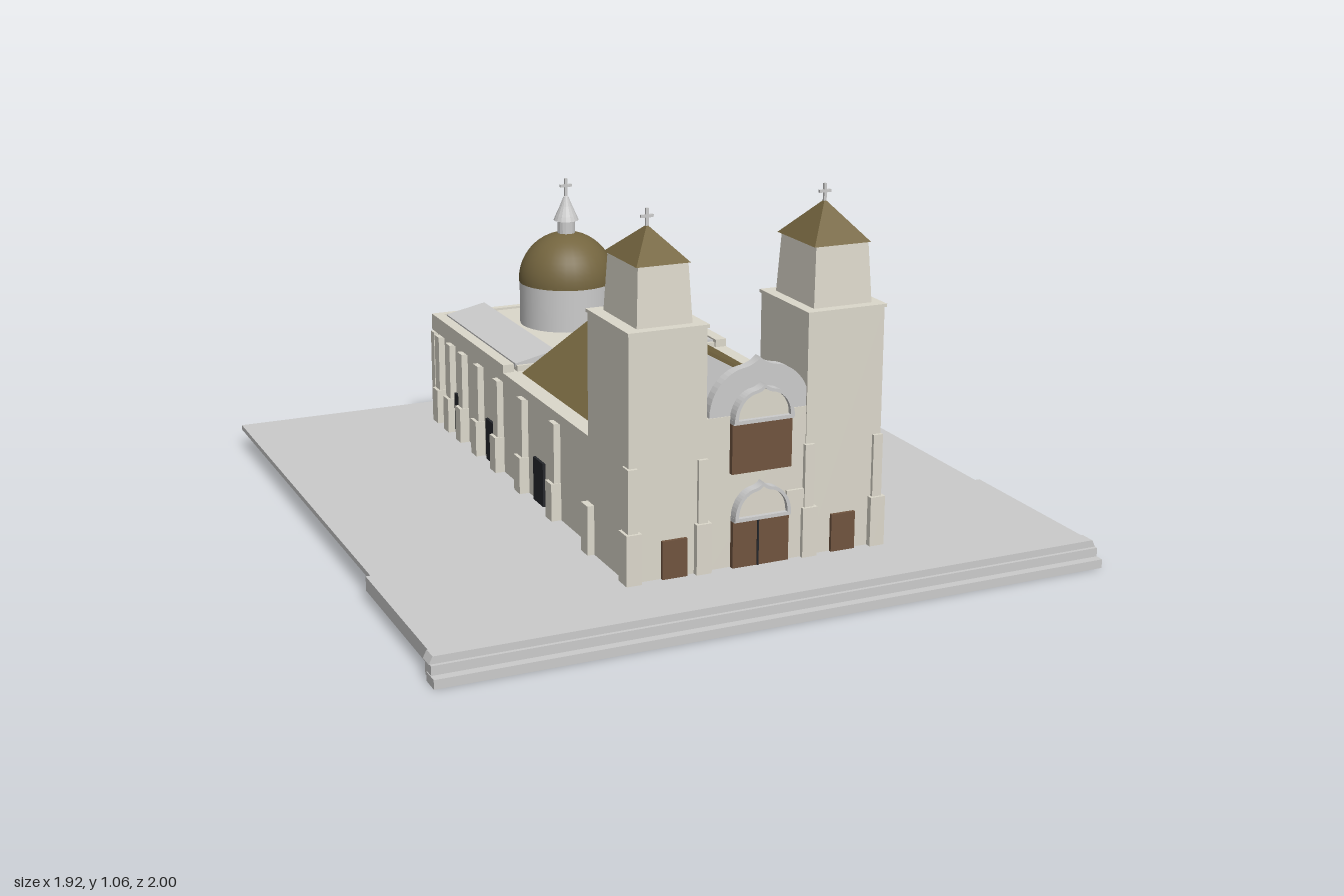
import * as THREE from 'three';

const mat = (color) => new THREE.MeshStandardMaterial({ color, flatShading: true, side: THREE.DoubleSide });
const stone = mat(0xdcd8cb), grey = mat(0xcccccc), tile = mat(0x74653f), wood = mat(0x70543f), dark = mat(0x25272b);
const smoothTile = new THREE.MeshStandardMaterial({ color: 0x74653f });
const smoothGrey = new THREE.MeshStandardMaterial({ color: 0xcccccc });

export function createModel() {
  const root = new THREE.Group();

  const add = (name, geo, material, parent = root) => {
    const mesh = new THREE.Mesh(geo, material);
    mesh.name = name;
    parent.add(mesh);
    return mesh;
  };
  // Box given by its limits on each axis
  const box = (name, x0, x1, y0, y1, z0, z1, material = stone, parent = root) => {
    const mesh = add(name, new THREE.BoxGeometry(x1 - x0, y1 - y0, z1 - z0), material, parent);
    mesh.position.set((x0 + x1) / 2, (y0 + y1) / 2, (z0 + z1) / 2);
    return mesh;
  };
  // Outline in x and y, pushed along z
  const prism = (name, shape, z0, z1, material) => {
    const geo = new THREE.ExtrudeGeometry(shape, { depth: z1 - z0, bevelEnabled: false, curveSegments: 12 });
    const mesh = add(name, geo, material);
    mesh.position.z = z0;
    return mesh;
  };
  const polygon = (...pts) => new THREE.Shape(pts.map((p) => new THREE.Vector2(...p)));
  // Pointed arch with a double curve
  const ogee = (cx, y, w, h) => {
    const s = new THREE.Shape();
    s.moveTo(cx - w, y);
    s.bezierCurveTo(cx - w, y + h * 0.55, cx - w * 0.6, y + h * 0.8, cx - w * 0.35, y + h * 0.84);
    s.quadraticCurveTo(cx - w * 0.12, y + h * 0.87, cx, y + h);
    s.quadraticCurveTo(cx + w * 0.12, y + h * 0.87, cx + w * 0.35, y + h * 0.84);
    s.bezierCurveTo(cx + w * 0.6, y + h * 0.8, cx + w, y + h * 0.55, cx + w, y);
    s.closePath();
    return s;
  };
  const cross = (x, y, z, h) => {
    const g = new THREE.Group();
    g.name = 'cross';
    const t = h * 0.07;
    box('crossPost', -t, t, 0, h, -t, t, grey, g);
    box('crossArm', -h * 0.32, h * 0.32, h * 0.55, h * 0.55 + 2 * t, -t, t, grey, g);
    g.position.set(x, y, z);
    root.add(g);
  };

  // Plaza and front steps
  box('plazaBack', -0.94, 0.93, 0.055, 0.07, -1, 0.41, grey);
  box('plazaFront', -0.953, 0.945, 0.03, 0.07, 0.41, 0.95, grey);
  box('upperStep', -0.963, 0.96, 0.012, 0.05, 0.93, 0.975, grey);
  box('lowerStep', -0.965, 0.96, 0, 0.025, 0.945, 1, grey);
  prism('plazaNosing', polygon([-0.955, 0.07], [0.95, 0.07], [0.96, 0.05], [-0.965, 0.05]), 0.92, 0.965, grey);

  // Nave and rear block
  box('naveWalls', -0.325, 0.39, 0.04, 0.375, -0.85, 0.47);
  box('naveCornice', -0.335, 0.4, 0.36, 0.388, -0.858, 0.47);
  box('rearRoof', -0.29, 0.36, 0.38, 0.405, -0.85, -0.2);
  for (const [x0, x1] of [[-0.335, -0.3], [0.365, 0.4]])
    box('rearParapet', x0, x1, 0.38, 0.412, -0.858, -0.2);
  box('backParapet', -0.335, 0.4, 0.38, 0.412, -0.858, -0.835);

  // Main gable roof: grey body with two tiled slopes
  prism('gable', polygon([-0.28, 0.385], [0.355, 0.385], [0.02, 0.575]), -0.172, 0.42, grey);
  prism('roofSlopeRight', polygon([-0.288, 0.385], [-0.27, 0.385], [0.02, 0.573], [0.02, 0.585]), -0.18, 0.43, tile);
  prism('roofSlopeLeft', polygon([0.363, 0.385], [0.02, 0.585], [0.02, 0.573], [0.345, 0.385]), -0.18, 0.43, tile);

  // Sloped aisle roofs, high on the inner side
  prism('aisleRoofRight', polygon([-0.292, 0.4], [-0.15, 0.4], [-0.163, 0.437], [-0.292, 0.41]), -0.835, -0.21, grey);
  prism('aisleRoofLeft', polygon([0.2, 0.4], [0.36, 0.4], [0.36, 0.41], [0.213, 0.437]), -0.835, -0.21, grey);

  // Buttresses: a broad foot and a slimmer shaft
  for (const z of [-0.785, -0.68, -0.565, -0.42, -0.25, -0.045, 0.205])
    for (const [wall, s] of [[0.39, 1], [-0.325, -1]]) {
      const span = (d) => (s > 0 ? [wall - 0.01, wall + d] : [wall - d, wall + 0.01]);
      box('buttressFoot', ...span(0.03), 0.04, 0.18, z - 0.023, z + 0.023);
      box('buttressShaft', ...span(0.02), 0.18, 0.355, z - 0.02, z + 0.02);
    }
  for (const x of [-0.14, 0.19]) {
    box('backButtressFoot', x - 0.022, x + 0.022, 0.04, 0.2, -0.875, -0.84);
    box('backButtressShaft', x - 0.018, x + 0.018, 0.2, 0.3, -0.868, -0.84);
  }
  for (const x of [-0.325, 0.39])
    box('backCorner', x - 0.014, x + 0.014, 0.04, 0.355, -0.86, -0.83);

  // Dark side doorways
  for (const z of [0.103, -0.483]) box('sideDoor', 0.38, 0.398, 0.045, 0.2, z - 0.038, z + 0.038, dark);
  for (const z of [0.07, -0.33, -0.62]) box('sideDoor', -0.333, -0.31, 0.045, 0.2, z - 0.038, z + 0.038, dark);

  // Bell towers
  const towers = [
    { x0: -0.343, x1: -0.122, b0: -0.31, b1: -0.153, c: -0.226, top: 0.905, tip: 0.99, door: -0.215 },
    { x0: 0.172, x1: 0.4, b0: 0.2, b1: 0.374, c: 0.285, top: 0.91, tip: 1.013, door: 0.286 },
  ];
  for (const t of towers) {
    box('towerShaft', t.x0, t.x1, 0.04, 0.738, 0.47, 0.74);
    box('towerCornice', t.x0 - 0.004, t.x1 + 0.004, 0.738, 0.747, 0.466, 0.746);
    // Belfry narrows towards its top
    const w = t.b1 - t.b0;
    const belfry = add('belfry', new THREE.CylinderGeometry(Math.SQRT1_2 * 0.9, Math.SQRT1_2, 1, 4).rotateY(Math.PI / 4), stone);
    belfry.scale.set(w, t.top - 0.745, 0.215);
    belfry.position.set((t.b0 + t.b1) / 2, (0.745 + t.top) / 2, 0.608);
    const spire = add('towerRoof', new THREE.ConeGeometry(Math.SQRT1_2, 1, 4).rotateY(Math.PI / 4), tile);
    spire.scale.set(w * 0.97, t.tip - t.top, 0.21);
    spire.position.set((t.b0 + t.b1) / 2, (t.top + t.tip) / 2, 0.603);
    cross((t.b0 + t.b1) / 2, t.tip - 0.012, 0.603, 0.055);
    box('towerDoor', t.door - 0.036, t.door + 0.036, 0.07, 0.176, 0.73, 0.75, wood);
    // Corner piers
    for (const x of [t.x0 + 0.008, t.x1 - 0.012]) {
      box('pierFoot', x - 0.022, x + 0.022, 0.04, 0.21, 0.705, 0.758);
      box('pierShaft', x - 0.014, x + 0.014, 0.21, 0.385, 0.71, 0.75);
    }
    const outer = t.x0 < 0 ? t.x0 : t.x1;
    box('rearPierFoot', outer - 0.02, outer + 0.02, 0.04, 0.21, 0.465, 0.51);
  }

  // Central facade between the towers
  const cx = 0.035;
  box('porchBlock', -0.125, 0.175, 0.04, 0.385, 0.46, 0.73);
  box('facadeWall', -0.125, 0.175, 0.04, 0.49, 0.705, 0.737);
  prism('facadeGable', ogee(cx, 0.485, 0.148, 0.155), 0.705, 0.735, grey);
  box('facadePanel', 0.115, 0.172, 0.07, 0.262, 0.73, 0.745);

  // Window and entrance, each with an ogee hood
  const opening = (name, y0, y1, w, hoodH) => {
    box(name, cx - w, cx + w, y0, y1, 0.73, 0.752, wood);
    box(name + 'Lintel', cx - w, cx + w, y1, y1 + 0.012, 0.73, 0.76, grey);
    const hood = ogee(cx, y1 + 0.005, w, hoodH);
    hood.holes.push(new THREE.Path(ogee(cx, y1 + 0.012, w * 0.87, hoodH * 0.82).getPoints(10)));
    prism(name + 'Hood', hood, 0.73, 0.765, grey);
    prism(name + 'Tympanum', ogee(cx, y1 + 0.008, w * 0.9, hoodH * 0.88), 0.73, 0.752, stone);
  };
  opening('window', 0.333, 0.47, 0.088, 0.1);
  opening('entrance', 0.07, 0.2, 0.083, 0.1);
  box('entranceSplit', 0.023, 0.028, 0.07, 0.2, 0.74, 0.755, dark);

  // Drum, dome and lantern
  const dome = new THREE.Group();
  dome.name = 'dome';
  dome.position.set(0.042, 0, -0.625);
  root.add(dome);
  add('drum', new THREE.CylinderGeometry(0.15, 0.15, 0.15, 32), smoothGrey, dome).position.y = 0.47;
  add('domeShell', new THREE.SphereGeometry(0.152, 32, 12, 0, Math.PI * 2, 0, Math.PI / 2), smoothTile, dome).position.y = 0.545;
  add('domeRim', new THREE.CylinderGeometry(0.152, 0.152, 0.006, 32), tile, dome).position.y = 0.543;
  const lantern = [[0.028, 0.68], [0.028, 0.735], [0.04, 0.735], [0.034, 0.75], [0.02, 0.78], [0.008, 0.81], [0, 0.815]];
  add('lantern', new THREE.LatheGeometry(lantern.map((p) => new THREE.Vector2(...p)), 16), grey, dome);
  cross(0.042, 0.808, -0.625, 0.06);

  return root;
}
